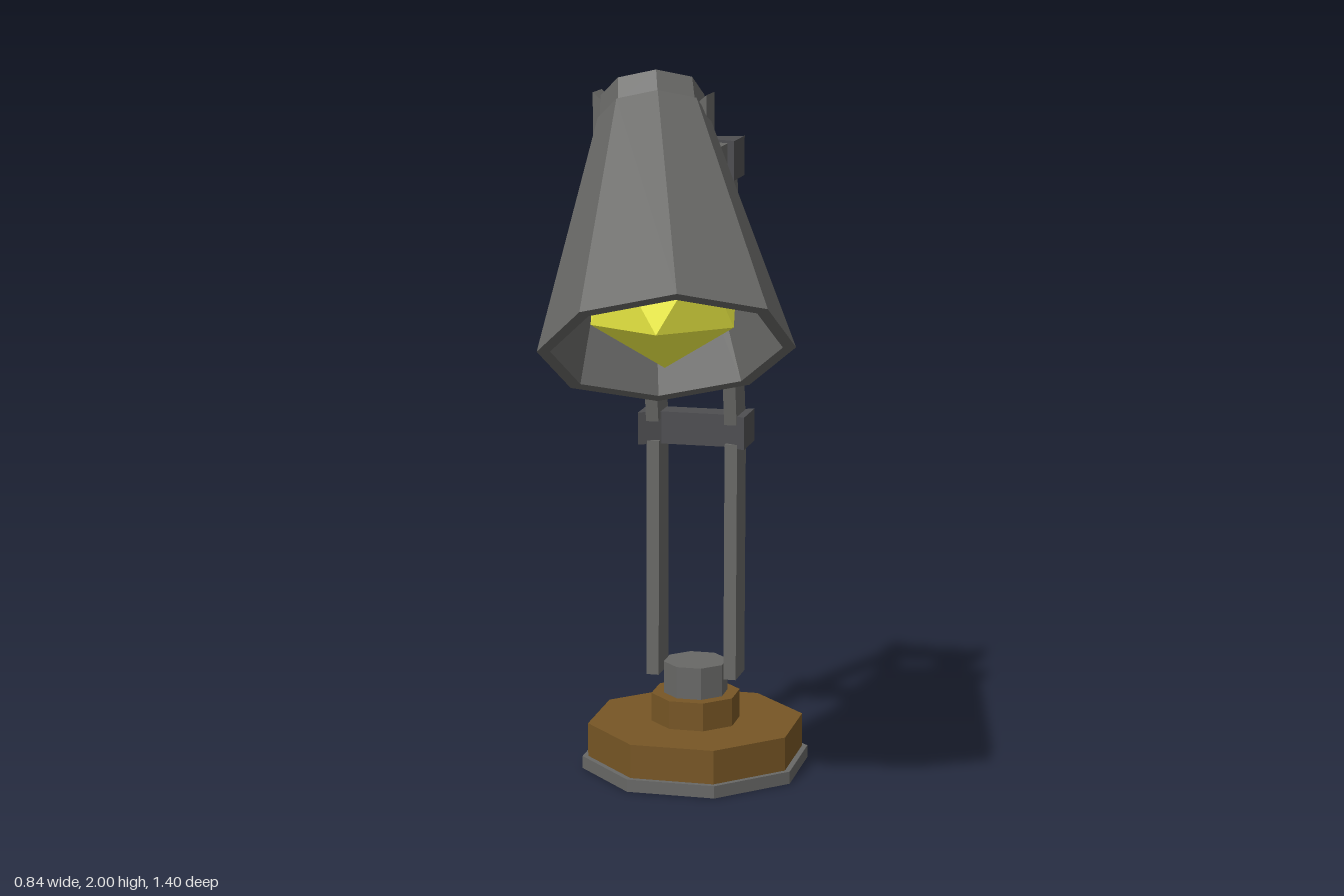
import * as THREE from 'three';

const material = (color) => new THREE.MeshStandardMaterial({ color, flatShading: true });
const grey = material(0x686866);
const darkGrey = material(0x4e4e51);
const brown = material(0x775625);
const yellow = material(0xfafa48);

function add(parent, name, geometry, mat, x = 0, y = 0, z = 0) {
  const mesh = new THREE.Mesh(geometry, mat);
  mesh.name = name;
  mesh.position.set(x, y, z);
  parent.add(mesh);
  return mesh;
}

// Eight-sided drum between two heights
function drum(parent, name, mat, radius, y0, y1) {
  return add(parent, name, new THREE.CylinderGeometry(radius, radius, y1 - y0, 8), mat, 0, (y0 + y1) / 2);
}

// Cross bar with flared ends, extruded along z and centred
function flaredBar(halfLength, outer, inner, depth) {
  const n = 0.09;
  const shape = new THREE.Shape([
    [-halfLength, -outer], [-n, -inner], [n, -inner], [halfLength, -outer],
    [halfLength, outer], [n, inner], [-n, inner], [-halfLength, outer],
  ].map(([x, y]) => new THREE.Vector2(x, y)));
  return new THREE.ExtrudeGeometry(shape, { depth, bevelEnabled: false }).translate(0, 0, -depth / 2);
}

export function createModel() {
  const model = new THREE.Group();
  model.name = 'deskLamp';

  // Stepped base
  const base = new THREE.Group();
  base.name = 'base';
  base.position.set(0.1, 0, -0.38);
  model.add(base);
  drum(base, 'basePlate', grey, 0.32, 0, 0.035);
  drum(base, 'baseBlock', brown, 0.304, 0.035, 0.13);
  drum(base, 'baseCollar', brown, 0.125, 0.13, 0.21);
  drum(base, 'basePost', grey, 0.09, 0.21, 0.3);

  // Folding arm, swivelled on the base
  const arm = new THREE.Group();
  arm.name = 'arm';
  arm.position.copy(base.position);
  arm.rotation.y = -0.4;
  model.add(arm);
  for (const side of [-1, 1]) {
    const x = side * 0.11;
    const lower = add(arm, 'lowerArm', new THREE.BoxGeometry(0.035, 0.665, 0.108), grey, x, 0.5975, -0.002);
    lower.rotation.x = -0.01;
    const upper = add(arm, 'upperArm', new THREE.BoxGeometry(0.035, 0.7, 0.108), grey, x, 1.34, 0.057);
    upper.rotation.x = 0.16;
    add(arm, 'headArm', new THREE.BoxGeometry(0.035, 0.095, 0.29), grey, x, 1.7225, 0.285);
  }
  const elbow = flaredBar(0.149, 0.066, 0.036, 0.09).rotateX(-Math.PI / 2);
  add(arm, 'elbowJoint', elbow, darkGrey, 0, 0.965, -0.006);
  const wrist = flaredBar(0.147, 0.062, 0.036, 0.105).rotateX(-Math.PI / 2);
  add(arm, 'upperJoint', wrist, darkGrey, 0, 1.725, 0.118);
  add(arm, 'headBracket', flaredBar(0.149, 0.13, 0.08, 0.086), grey, 0, 1.8, 0.456);

  // Tilted head, origin at the middle of the cap's top
  const head = new THREE.Group();
  head.name = 'head';
  head.position.set(-0.08, 1.922, 0.037);
  head.rotation.set(-0.605, -0.06, 0, 'YXZ');
  model.add(head);
  add(head, 'shadeCap', new THREE.CylinderGeometry(0.133, 0.137, 0.066, 8), grey, 0, -0.033);
  const profile = [[0, -0.1], [0.115, -0.1], [0.288, -0.711], [0.321, -0.711], [0.143, -0.064], [0, -0.064]]
    .map(([r, y]) => new THREE.Vector2(r, y));
  add(head, 'shade', new THREE.LatheGeometry(profile, 8), grey);

  // Faceted bulb standing on one corner
  const bulb = new THREE.IcosahedronGeometry(0.21, 0).rotateZ(Math.atan2(2, 1 + Math.sqrt(5))).rotateY(0.68);
  add(model, 'bulb', bulb, yellow, -0.093, 1.48, 0.33);

  return model;
}
